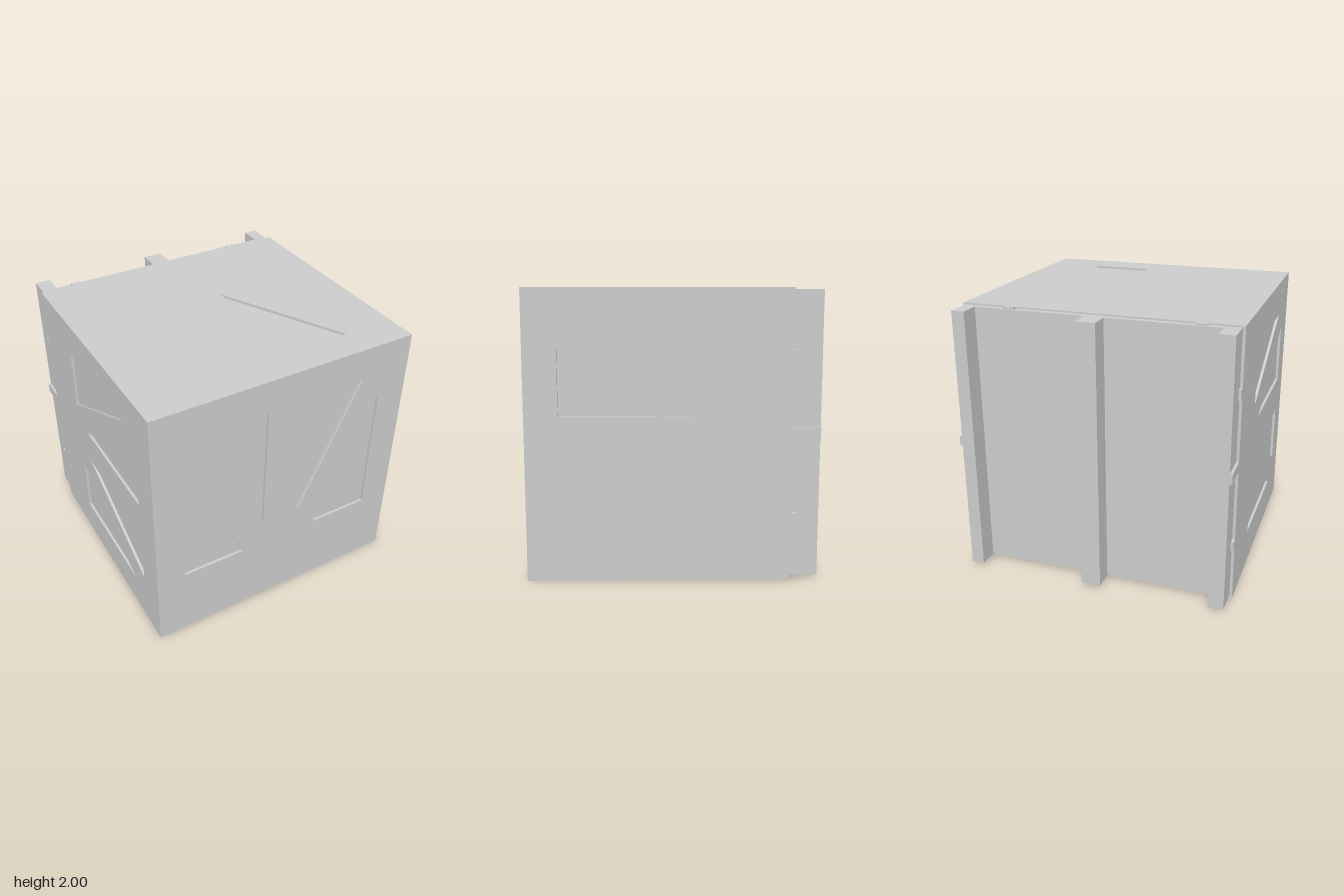
import * as THREE from 'three';

const BACK = -0.805; // rear edge of the main body
const SKIN = 0.02;   // depth of the triangular recesses

// Triangular cut-outs: front as (x, y), sides as (z, y), top and bottom as (x, z)
const frontTriangles = [
  [[-0.6, 1.75], [-0.145, 1.75], [-0.145, 0.76]],
  [[0.145, 1.75], [0.615, 1.75], [0.145, 0.74]],
  [[-0.78, 1.57], [-0.78, 0.56], [-0.31, 0.56]],
  [[0.775, 1.58], [0.775, 0.56], [0.31, 0.56]],
];
const sideTriangles = [
  [[0.6, 1.74], [-0.305, 1.74], [-0.305, 1.295]],
  [[0.77, 1.6], [0.77, 1.145], [-0.13, 1.14]],
  [[0.765, 0.87], [-0.125, 0.87], [0.765, 0.43]],
  [[-0.305, 0.71], [-0.305, 0.27], [0.6, 0.27]],
];
const topTriangles = [
  [[-0.78, -0.305], [-0.315, -0.305], [-0.78, 0.6]],
  [[0.31, -0.305], [0.775, -0.305], [0.775, 0.61]],
  [[-0.145, -0.12], [-0.145, 0.77], [-0.6, 0.77]],
  [[0.145, -0.14], [0.145, 0.77], [0.615, 0.77]],
];

export function createModel() {
  const group = new THREE.Group();
  const material = new THREE.MeshStandardMaterial({ color: 0xcccccc, flatShading: true });

  function add(name, geometry) {
    const mesh = new THREE.Mesh(geometry, material);
    mesh.name = name;
    group.add(mesh);
  }

  // Box given by its extents on each axis
  function box(name, [x0, x1], [y0, y1], [z0, z1]) {
    const geometry = new THREE.BoxGeometry(x1 - x0, y1 - y0, z1 - z0);
    geometry.translate((x0 + x1) / 2, (y0 + y1) / 2, (z0 + z1) / 2);
    add(name, geometry);
  }

  // Pierced skin panel; flipU / flipV convert world coordinates to panel axes
  function panel(name, [a0, a1], [b0, b1], triangles, flipU, flipV, u, v, origin) {
    const toPoint = ([a, b]) => new THREE.Vector2(a * flipU, b * flipV);
    const shape = new THREE.Shape([[a0, b0], [a1, b0], [a1, b1], [a0, b1]].map(toPoint));
    shape.holes = triangles.map((t) => new THREE.Path(t.map(toPoint)));
    const geometry = new THREE.ExtrudeGeometry(shape, { depth: SKIN, bevelEnabled: false });
    const normal = new THREE.Vector3().crossVectors(u, v);
    const matrix = new THREE.Matrix4().makeBasis(u, v, normal);
    matrix.setPosition(origin.clone().addScaledVector(normal, -SKIN));
    add(name, geometry.applyMatrix4(matrix));
  }

  const X = new THREE.Vector3(1, 0, 0);
  const Y = new THREE.Vector3(0, 1, 0);
  const Z = new THREE.Vector3(0, 0, 1);
  const inner = 1 - SKIN;
  const full = [0, 2], deep = [BACK, inner], wide = [-inner, inner];

  // Solid core forming the recess floors
  box('core', wide, [SKIN, 2 - SKIN], deep);

  // Outer skins
  panel('frontPanel', [-1, 1], full, frontTriangles, 1, 1, X, Y, Z);
  panel('leftPanel', deep, full, sideTriangles, -1, 1, Z.clone().negate(), Y, X);
  panel('rightPanel', deep, full, sideTriangles, 1, 1, Z, Y, X.clone().negate());
  panel('topPanel', wide, deep, topTriangles, 1, -1, X, Z.clone().negate(), new THREE.Vector3(0, 2, 0));
  panel('bottomPanel', wide, deep, topTriangles, 1, 1, X, Z, new THREE.Vector3());

  // Back plate and its three upright posts
  const upright = [0.025, 1.988];
  box('backPlate', [-0.98, 0.98], upright, [-0.85, BACK]);
  for (const span of [[-0.98, -0.87], [-0.065, 0.075], [0.885, 0.98]]) {
    box('backPost', span, upright, [-1, -0.85]);
  }

  // Locking tabs along the top and bottom edges
  for (const span of [[-0.76, -0.68], [0.595, 0.675]]) {
    box('topTab', span, [1.95, 2], [-0.84, BACK]);
    box('bottomTab', span, [0, 0.05], [-0.835, BACK]);
  }

  // Locking tabs and long middle catch on each side
  for (const side of [[0.95, 1], [-1, -0.95]]) {
    box('sideTab', side, [1.52, 1.59], [-0.849, BACK]);
    box('sideTab', side, [0.405, 0.475], [-0.849, BACK]);
    box('sideCatch', side, [0.99, 1.065], [-1, BACK]);
  }

  return group;
}
